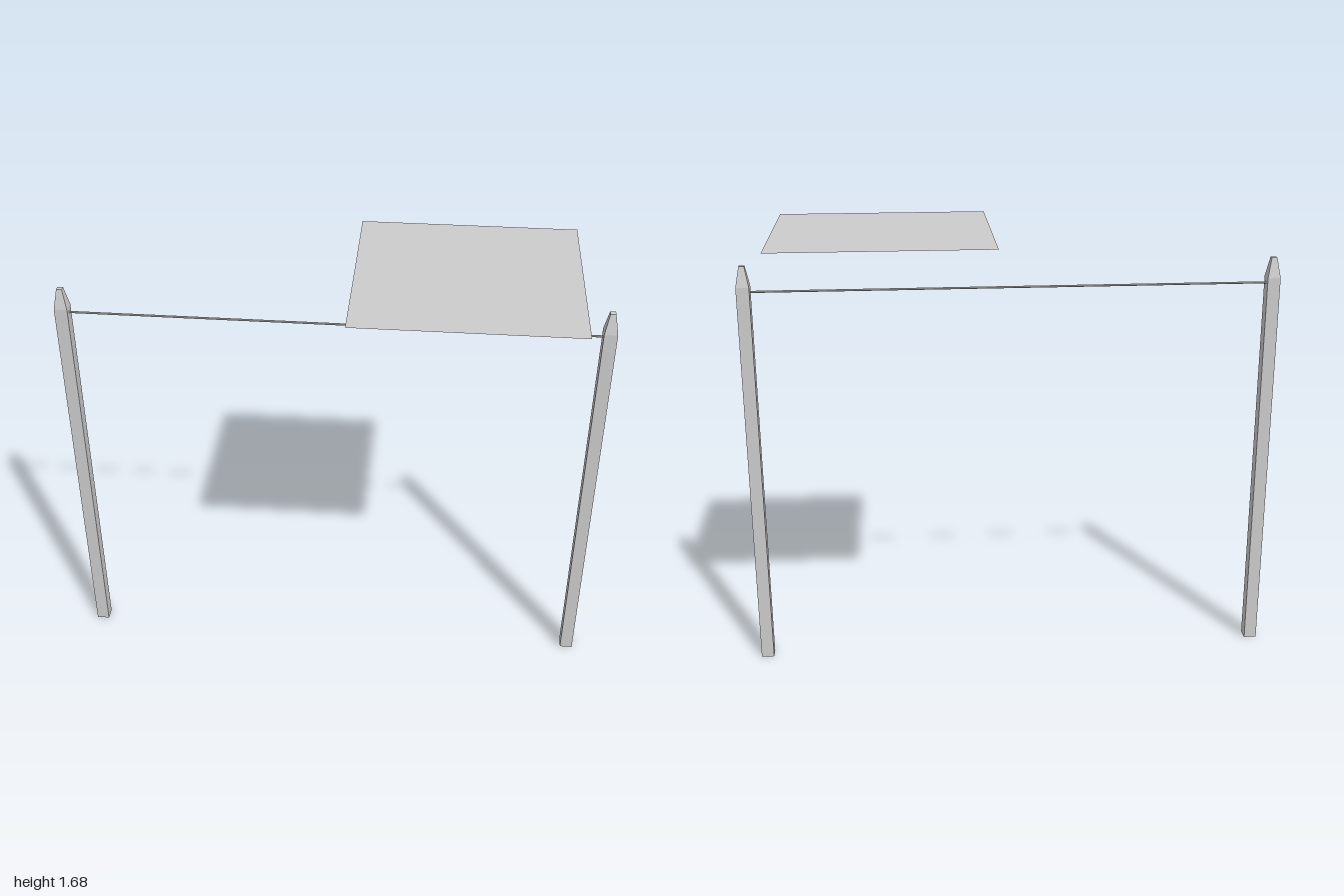
import * as THREE from 'three';

const HEIGHT = 1.565, SHOULDER = 1.49, HALF = 0.024, TIP_HALF = 0.01;

// Square prism with its base on y = 0, tapering from bottom to top
function squareColumn(topHalf, bottomHalf, height, openEnded) {
  const g = new THREE.CylinderGeometry(topHalf * Math.SQRT2, bottomHalf * Math.SQRT2, height, 4, 1, openEnded);
  g.rotateY(Math.PI / 4);
  g.translate(0, height / 2, 0);
  return g;
}

export function createModel() {
  const model = new THREE.Group();
  const grey = new THREE.MeshStandardMaterial({ color: 0xcccccc, flatShading: true, side: THREE.DoubleSide });
  grey.name = 'lightGrey';

  function add(name, geometry, parent = model) {
    const mesh = new THREE.Mesh(geometry, grey);
    mesh.name = name;
    parent.add(mesh);
    return mesh;
  }

  // Two square posts with tapered tips
  for (const side of [-1, 1]) {
    const post = new THREE.Group();
    post.name = side > 0 ? 'leftPost' : 'rightPost';
    post.position.x = side * (1 - HALF);
    add('postShaft', squareColumn(HALF, HALF, SHOULDER, false), post);
    add('postTip', squareColumn(TIP_HALF, HALF, HEIGHT - SHOULDER, false), post).position.y = SHOULDER;
    model.add(post);
  }

  // Thin line strung between the posts
  const line = new THREE.CylinderGeometry(0.004, 0.004, 1.91, 8);
  line.rotateZ(Math.PI / 2);
  add('line', line).position.y = 1.47;

  // Flat horizontal sheet above the line
  const sheet = new THREE.PlaneGeometry(0.785, 0.785);
  sheet.rotateX(-Math.PI / 2);
  add('sheet', sheet).position.set(0.47, 1.685, 0);

  return model;
}
